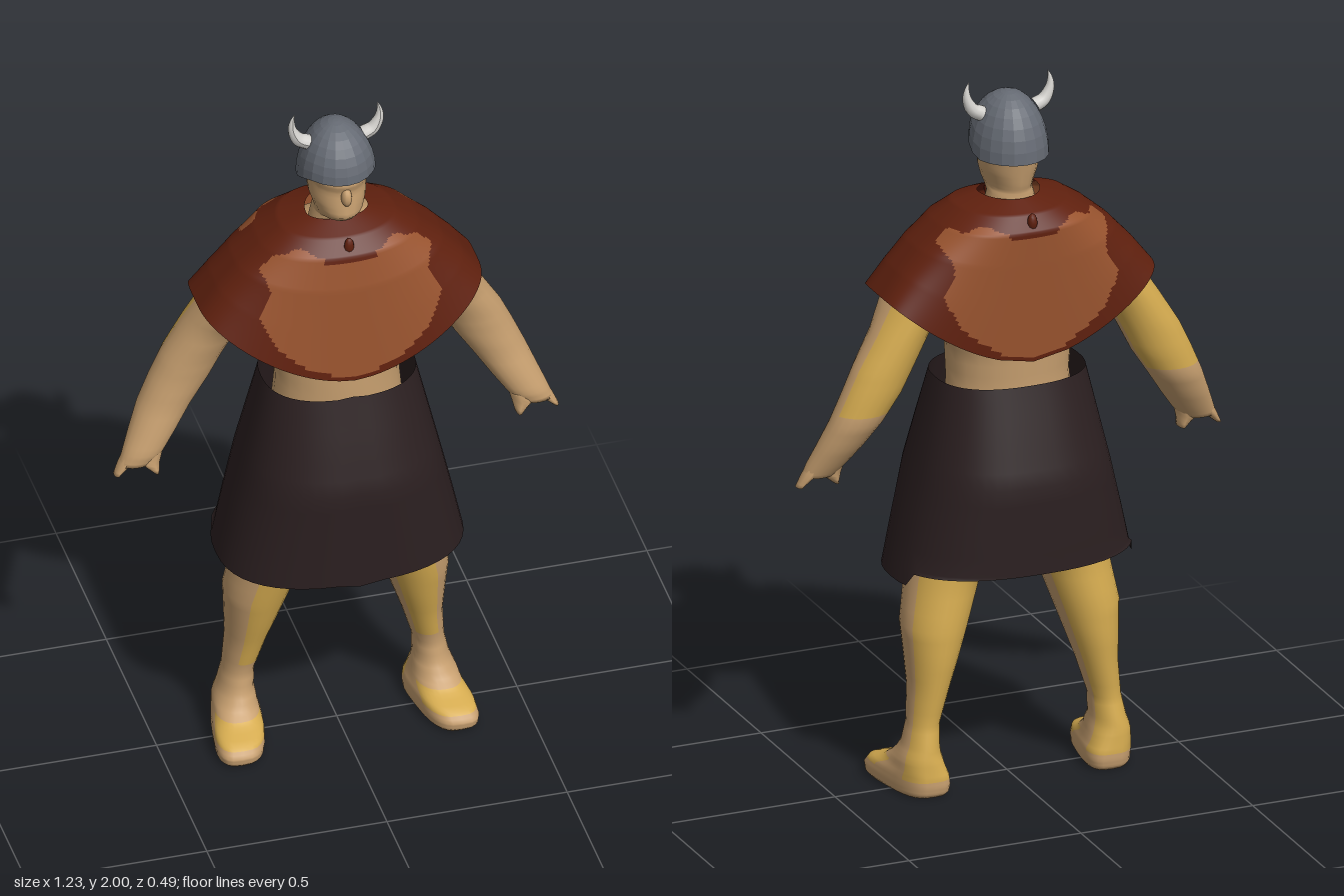
import * as THREE from 'three';

const { smoothstep } = THREE.MathUtils;
const material = (name, color, extra = {}) => {
  const m = new THREE.MeshStandardMaterial({ color, ...extra });
  m.name = name;
  return m;
};
const signedPow = (v, p) => Math.sign(v) * Math.abs(v) ** p;

// Closed rings stacked from top to bottom; rule(x, y, z, angle) picks a material index per quad
function surface(rows, sides, point, { rule = () => 0, caps = true } = {}) {
  const pos = [], groups = [[], []];
  for (let i = 0; i <= rows; i++)
    for (let j = 0; j < sides; j++) pos.push(...point(i / rows, (j / sides) * Math.PI * 2));
  const centre = (...ids) => [0, 1, 2].map(k => ids.reduce((s, id) => s + pos[id * 3 + k], 0) / ids.length);
  for (let i = 0; i < rows; i++)
    for (let j = 0; j < sides; j++) {
      const a = i * sides + j, b = i * sides + ((j + 1) % sides), c = a + sides, d = b + sides;
      const g = rule(...centre(a, b, c, d), ((j + 0.5) / sides) * Math.PI * 2);
      groups[g].push(a, b, c, b, d, c);
    }
  if (caps) for (const [row, flip] of [[0, true], [rows, false]]) {
    const ring = Array.from({ length: sides }, (_, j) => row * sides + j);
    const hub = pos.length / 3;
    pos.push(...centre(...ring));
    ring.forEach((a, j) => {
      const b = ring[(j + 1) % sides];
      groups[0].push(hub, ...(flip ? [b, a] : [a, b]));
    });
  }
  const geo = new THREE.BufferGeometry();
  geo.setAttribute('position', new THREE.Float32BufferAttribute(pos, 3));
  geo.setIndex(groups.flat());
  geo.addGroup(0, groups[0].length, 0);
  geo.addGroup(groups[0].length, groups[1].length, 1);
  geo.computeVertexNormals();
  return geo;
}

// Linear lookup in a list of equally spaced values or value rows
function sample(list, t) {
  const f = t * (list.length - 1), i = Math.min(Math.floor(f), list.length - 2), k = f - i;
  const mix = (a, b) => a + (b - a) * k;
  return Array.isArray(list[0]) ? list[i].map((v, n) => mix(v, list[i + 1][n])) : mix(list[i], list[i + 1]);
}

// Body part from sections [y, xMin, xMax, zBack, zFront, shear]; power below 1 squares the rings
function loft(sections, { sides = 20, sub = 3, side = 1, power = () => 1, tweak = p => p, ...rest } = {}) {
  return surface((sections.length - 1) * sub, sides, (t, a) => {
    const [y, x0, x1, z0, z1, shear = 0] = sample(sections, t);
    const p = power(y);
    const dx = (x1 - x0) / 2 * signedPow(Math.cos(a), p), dz = (z1 - z0) / 2 * signedPow(Math.sin(a), p);
    return tweak([(x0 + x1) / 2 * side + dx + shear * side * dz, y, (z0 + z1) / 2 + dz]);
  }, rest);
}

export function createModel() {
  const model = new THREE.Group();
  model.name = 'hornedWarrior';
  const skin = material('skin tan', 0xc8a070);
  const gold = material('skin gold', 0xd6ac50);
  const capeDark = material('cape dark', 0x5f200e, { side: THREE.DoubleSide });
  const capeLight = material('cape light', 0x98532e, { side: THREE.DoubleSide });
  const cloth = material('skirt cloth', 0x2b1f20, { side: THREE.DoubleSide });
  const steel = material('helmet steel', 0x666b74, { side: THREE.DoubleSide, flatShading: true });
  const horn = material('horn ivory', 0xd2d0cc);
  const add = (name, geo, mat) => {
    const mesh = new THREE.Mesh(geo, mat);
    mesh.name = name;
    model.add(mesh);
    return mesh;
  };
  const bead = (name, mat, position, scale) => {
    const mesh = add(name, new THREE.SphereGeometry(1, 10, 8), mat);
    mesh.position.set(...position);
    mesh.scale.set(...scale);
  };

  // Torso
  add('torso', loft([
    [1.63, -0.14, 0.14, -0.11, 0.05], [1.5, -0.25, 0.25, -0.15, 0.12], [1.38, -0.23, 0.23, -0.155, 0.14],
    [1.25, -0.176, 0.176, -0.145, 0.135], [1.15, -0.17, 0.17, -0.14, 0.135],
    [0.95, -0.19, 0.19, -0.14, 0.13], [0.76, -0.17, 0.17, -0.11, 0.11],
  ], { sides: 24 }), [skin, gold]);

  // Head, neck and nose
  add('head', loft([
    [1.94, -0.04, 0.04, -0.06, 0.04], [1.88, -0.08, 0.08, -0.105, 0.085], [1.82, -0.083, 0.083, -0.115, 0.105],
    [1.79, -0.08, 0.08, -0.113, 0.095], [1.75, -0.077, 0.077, -0.105, 0.1], [1.715, -0.066, 0.066, -0.098, 0.104],
    [1.695, -0.06, 0.06, -0.092, 0.085], [1.68, -0.062, 0.062, -0.092, 0.05], [1.6, -0.08, 0.08, -0.1, 0.06],
  ]), [skin, gold]);
  bead('nose', skin, [0, 1.78, 0.096], [0.015, 0.028, 0.02]);

  // Arms, hands and legs, mirrored
  for (const side of [1, -1]) {
    const label = side > 0 ? 'left' : 'right';
    add(label + 'Arm', loft([
      [1.6, 0.1, 0.22, -0.1, 0.04], [1.5, 0.17, 0.31, -0.14, 0.07], [1.42, 0.21, 0.365, -0.145, 0.085],
      [1.34, 0.255, 0.415, -0.14, 0.035], [1.25, 0.3, 0.47, -0.135, 0.015], [1.18, 0.335, 0.503, -0.13, 0.008],
      [1.1, 0.388, 0.538, -0.12, 0.008], [1.03, 0.435, 0.567, -0.09, 0.018], [0.975, 0.475, 0.59, -0.06, 0.025],
      [0.94, 0.507, 0.603, -0.04, 0.02],
    ], { side, rule: (x, y, z, a) => (Math.sin(a) < -0.4 && y > 1.12 ? 1 : 0) }), [skin, gold]);
    add(label + 'Fingers', loft([
      [0.975, 0.53, 0.588, -0.045, 0.012], [0.942, 0.565, 0.604, -0.038, 0.012], [0.912, 0.601, 0.617, -0.025, 0.01],
    ], { side, sides: 10 }), [skin, gold]);
    add(label + 'Thumb', loft([
      [0.98, 0.478, 0.54, -0.045, 0.018], [0.944, 0.488, 0.552, -0.037, 0.022], [0.912, 0.495, 0.512, -0.03, 0.026],
    ], { side, sides: 10 }), [skin, gold]);

    add(label + 'Leg', loft([
      [0.95, 0, 0.2, -0.12, 0.12], [0.75, 0.01, 0.26, -0.12, 0.13], [0.6, 0.085, 0.287, -0.11, 0.12],
      [0.47, 0.13, 0.31, -0.12, 0.09], [0.38, 0.162, 0.304, -0.118, 0.065], [0.3, 0.19, 0.3, -0.11, 0.04],
      [0.2, 0.22, 0.307, -0.1, 0.015], [0.14, 0.222, 0.32, -0.112, 0.025], [0.1, 0.216, 0.335, -0.118, 0.05, 0.05],
      [0.075, 0.212, 0.34, -0.12, 0.085, 0.1], [0.055, 0.21, 0.349, -0.122, 0.145, 0.15],
      [0.03, 0.21, 0.352, -0.122, 0.165, 0.17], [0.01, 0.212, 0.35, -0.118, 0.162, 0.17],
      [0, 0.22, 0.342, -0.11, 0.152, 0.17],
    ], {
      side, sides: 28,
      power: y => 0.65 + 0.35 * smoothstep(y, 0.04, 0.14),
      rule: (x, y, z, a) => {
        const s = Math.sin(a), c = Math.cos(a) * side;
        const back = s < -0.42 && y > 0.05;
        const shin = s > 0 && c > -0.75 && c < 0.5 && y > 0.24 && y < 0.57;
        const toes = s > 0.2 && y > 0.045 && y < 0.085;
        return back || shin || toes ? 1 : 0;
      },
    }), [skin, gold]);
  }

  // Long skirt: hem higher at the back, small point and pleat at the front
  add('skirt', loft([
    [1.165, -0.21, 0.21, -0.165, 0.165], [1.0325, -0.241, 0.241, -0.203, 0.208], [0.9, -0.272, 0.272, -0.24, 0.248],
    [0.755, -0.306, 0.306, -0.242, 0.248], [0.61, -0.338, 0.338, -0.242, 0.248],
  ], {
    sides: 48, caps: false, power: () => 0.82,
    tweak: ([x, y, z]) => {
      const middle = Math.abs(x) < 0.005 && z > 0;
      if (y < 0.611) y = z < -0.1 ? 0.65 : middle ? 0.597 : y;
      return [x, y, middle ? z - 0.006 : z];
    },
  }), cloth);

  // Shoulder cape: side and front profiles blended around the neck
  const sideX = [0.085, 0.16, 0.22, 0.285, 0.34, 0.39], sideY = [1.68, 1.66, 1.62, 1.565, 1.505, 1.44];
  const midY = [1.68, 1.655, 1.615, 1.52, 1.38, 1.24];
  const frontZ = [0.05, 0.105, 0.143, 0.162, 0.175, 0.188], backZ = [0.1, 0.155, 0.19, 0.188, 0.184, 0.18];
  add('cape', surface(60, 160, (t, a) => {
    const front = Math.sin(a) > 0, p = 1 - (front ? 0.32 : 0.58) * t;
    const cx = signedPow(Math.cos(a), p), sz = signedPow(Math.sin(a), p);
    const w = Math.abs(cx) ** 1.7;
    return [
      cx * sample(sideX, t),
      sample(sideY, t) * w + sample(midY, t) * (1 - w),
      sz * sample(front ? frontZ : backZ, t),
    ];
  }, {
    caps: false,
    rule: (x, y, z) => {
      const u = Math.abs(x);
      const top = u < 0.07 ? 1.6 : 1.628 + 0.008 * Math.sin(u * 60);
      const wide = 0.235 + 0.015 * Math.sin(y * 40);
      return Math.abs(z) > 0.08 && u < wide && y < top && y > 1.255 + 2.6 * u * u ? 1 : 0;
    },
  }), [capeDark, capeLight]);
  bead('frontTie', capeDark, [0, 1.635, 0.122], [0.014, 0.028, 0.012]);
  bead('backTie', capeDark, [0, 1.638, -0.172], [0.014, 0.025, 0.014]);

  // Helmet dome with a rim raised over the face
  add('helmet', surface(8, 20, (t, a) => {
    const phi = Math.max(t, 0.04) * Math.PI / 2, r = Math.sin(phi);
    const rim = 1.788 + 0.04 * smoothstep(Math.sin(a), -0.3, 0.7);
    return [
      0.106 * r * Math.cos(a),
      rim + (1.96 - rim) * Math.cos(phi),
      -0.012 + 0.123 * r * Math.sin(a),
    ];
  }), [steel, steel]);

  // Curved tapering horns
  for (const side of [1, -1]) {
    const path = new THREE.CatmullRomCurve3([[0.078, 1.905], [0.103, 1.918], [0.12, 1.95], [0.121, 1.978], [0.115, 2]]
      .map(([x, y]) => new THREE.Vector3(x * side, y, -0.01)));
    const rings = 14, radial = 10;
    const geo = new THREE.TubeGeometry(path, rings, 0.021, radial);
    const p = geo.attributes.position, v = new THREE.Vector3();
    for (let i = 0; i < p.count; i++) {
      const t = Math.floor(i / (radial + 1)) / rings, c = path.getPointAt(t);
      v.fromBufferAttribute(p, i).sub(c).multiplyScalar(1 - 0.97 * t ** 1.6).add(c);
      p.setXYZ(i, v.x, v.y, v.z);
    }
    geo.computeVertexNormals();
    add(side > 0 ? 'leftHorn' : 'rightHorn', geo, horn);
  }
  return model;
}
